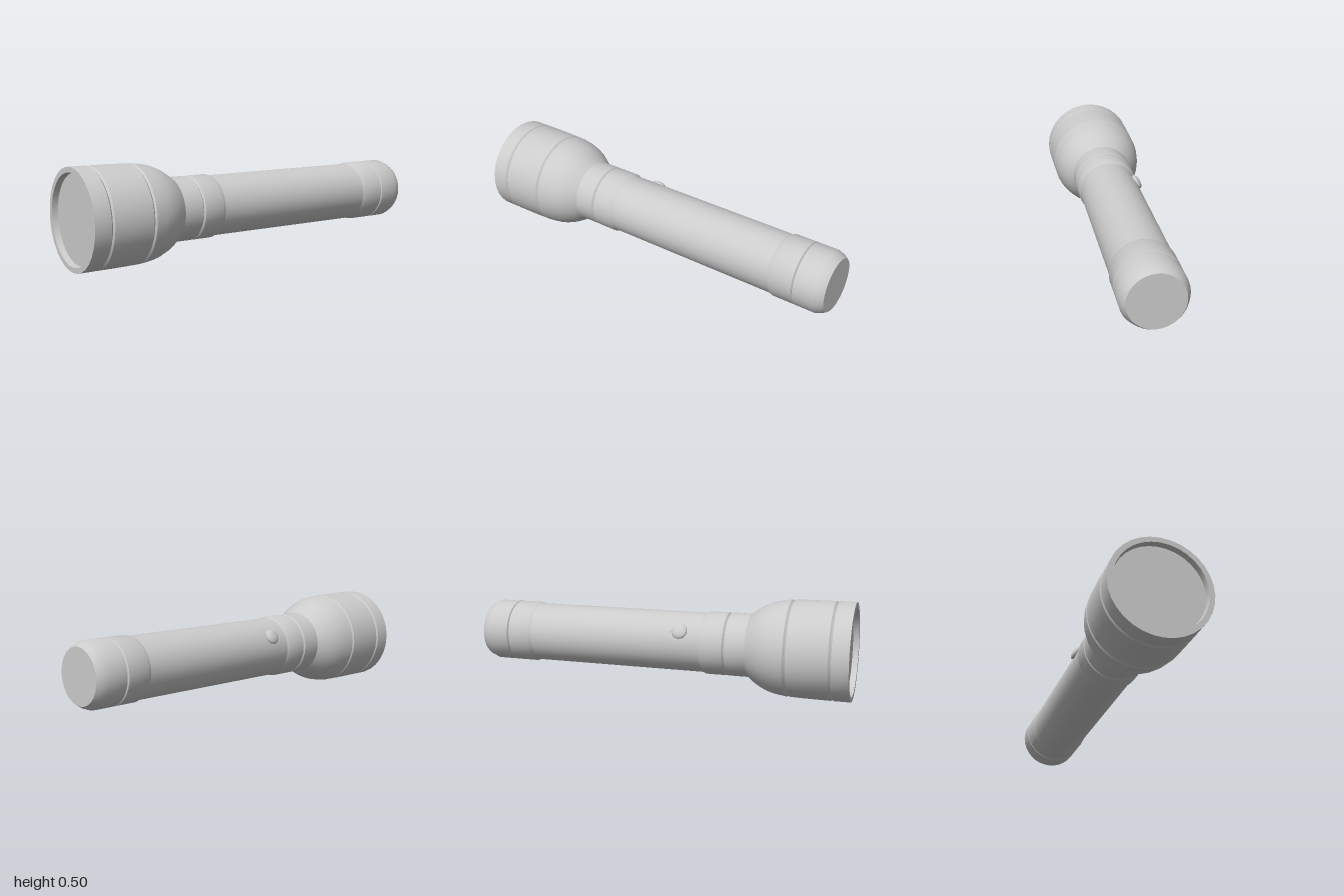
import * as THREE from 'three';
import { toCreasedNormals } from 'three/addons/utils/BufferGeometryUtils.js';

const AXIS_Y = 0.251; // height of the torch's axis
const material = new THREE.MeshStandardMaterial({ color: 0xcccccc });

// Turned part: profile of [radius, z], running from tail to front
function turned(name, profile) {
  const points = profile.map(([r, z]) => new THREE.Vector2(r, z));
  const geometry = toCreasedNormals(new THREE.LatheGeometry(points, 32).rotateX(Math.PI / 2), 0.6);
  const mesh = new THREE.Mesh(geometry, material);
  mesh.name = name;
  mesh.position.y = AXIS_Y;
  return mesh;
}

// Narrow V-shaped groove between z0 and z1
function groove(r, z0, z1, depth = 0.008) {
  return [[r, z0], [r - depth, (z0 + z1) / 2], [r, z1]];
}

export function createModel() {
  const torch = new THREE.Group();
  torch.name = 'flashlight';

  // Screw-on tail with a bevelled end
  torch.add(turned('tailCap', [
    [0, -1], [0.138, -1], [0.15, -0.982], [0.163, -0.95],
    ...groove(0.163, -0.846, -0.836),
    [0.163, -0.725], [0.156, -0.705],
  ]));

  // Plain handle
  torch.add(turned('barrel', [[0.156, -0.705], [0.156, 0.235]]));

  // Collar between handle and head
  torch.add(turned('collar', [
    [0.156, 0.235], [0.164, 0.255],
    ...groove(0.164, 0.357, 0.371),
    [0.164, 0.475],
  ]));

  // Flared reflector housing
  torch.add(turned('head', [
    [0.164, 0.475], [0.191, 0.51], [0.213, 0.546], [0.23, 0.585], [0.24, 0.625], [0.246, 0.665],
    ...groove(0.248, 0.68, 0.696),
    [0.25, 0.78], [0.251, 0.9],
  ]));

  // Front ring with its recessed inner lip
  torch.add(turned('bezel', [
    ...groove(0.251, 0.9, 0.916),
    [0.251, 1], [0.225, 1], [0.221, 0.97],
  ]));

  torch.add(turned('lens', [[0.221, 0.97], [0, 0.97]]));

  // Domed switch on the upper right of the handle
  const angle = Math.PI / 3;
  const button = new THREE.Mesh(new THREE.SphereGeometry(1, 24, 16), material);
  button.name = 'switchButton';
  button.scale.set(0.041, 0.018, 0.041);
  button.rotation.z = angle;
  button.position.set(-0.159 * Math.sin(angle), AXIS_Y + 0.159 * Math.cos(angle), 0.13);
  torch.add(button);

  return torch;
}
